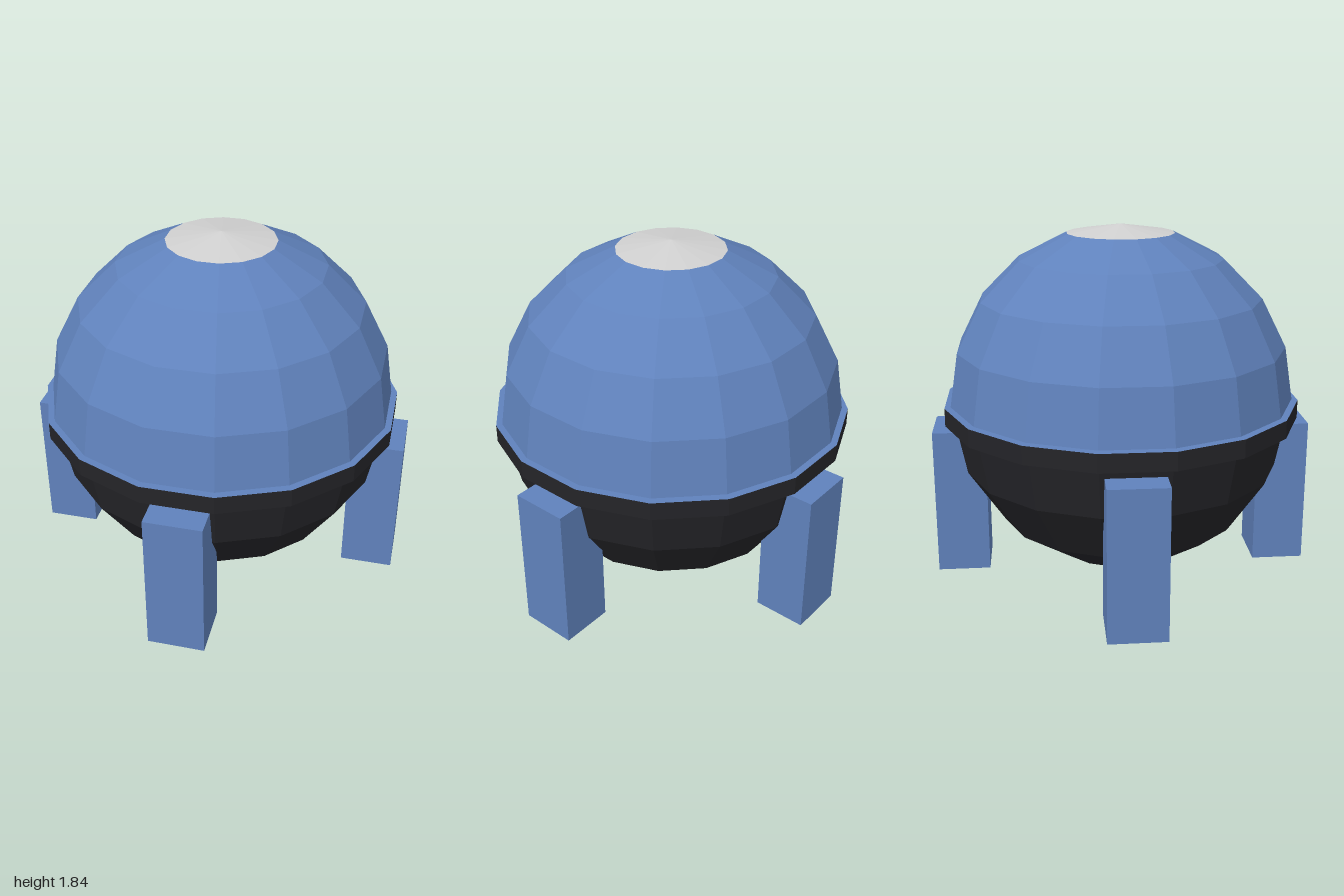
import * as THREE from 'three';

const SIDES = 16;
const START = Math.PI / SIDES; // half a step, so a flat side faces front

function material(name, color) {
  const m = new THREE.MeshStandardMaterial({ color });
  m.name = name;
  return m;
}

// Faceted normals
function facet(geometry) {
  const g = geometry.toNonIndexed();
  g.computeVertexNormals();
  return g;
}

// Faceted band of a sphere between two latitudes in degrees
function sphereBand(radius, centreY, from, to, rows) {
  const points = [];
  for (let i = 0; i <= rows; i++) {
    const a = THREE.MathUtils.degToRad(from + ((to - from) * i) / rows);
    points.push(new THREE.Vector2(Math.max(0, radius * Math.cos(a)), centreY + radius * Math.sin(a)));
  }
  return facet(new THREE.LatheGeometry(points, SIDES, START, Math.PI * 2));
}

export function createModel() {
  const group = new THREE.Group();
  const blue = material('blue', 0x6082bc);
  const black = material('black', 0x242428);
  const grey = material('light grey', 0xd0d0d0);

  function add(name, geometry, mat) {
    const mesh = new THREE.Mesh(geometry, mat);
    mesh.name = name;
    group.add(mesh);
    return mesh;
  }

  // Upper dome with its pale cap
  add('dome', sphereBand(0.911, 0.93, 0, 72, 4), blue);
  add('domeCap', sphereBand(0.911, 0.93, 72, 90, 1), grey);

  // Lower bowl
  add('bowl', sphereBand(0.905, 0.908, -90, 0, 4), black);

  // Rim: black side, blue top and underside
  const rim = facet(new THREE.CylinderGeometry(0.943, 0.943, 0.095, SIDES, 1, false, START));
  add('rim', rim, [black, blue, blue]).position.y = 0.8775;

  // Four legs
  for (let i = 0; i < 4; i++) {
    const a = (i * Math.PI) / 2;
    const leg = add('leg' + (i + 1), new THREE.BoxGeometry(0.295, 0.78, 0.275), blue);
    leg.position.set(Math.sin(a) * 0.8625, 0.39, Math.cos(a) * 0.8625);
    leg.rotation.y = a;
  }
  return group;
}
